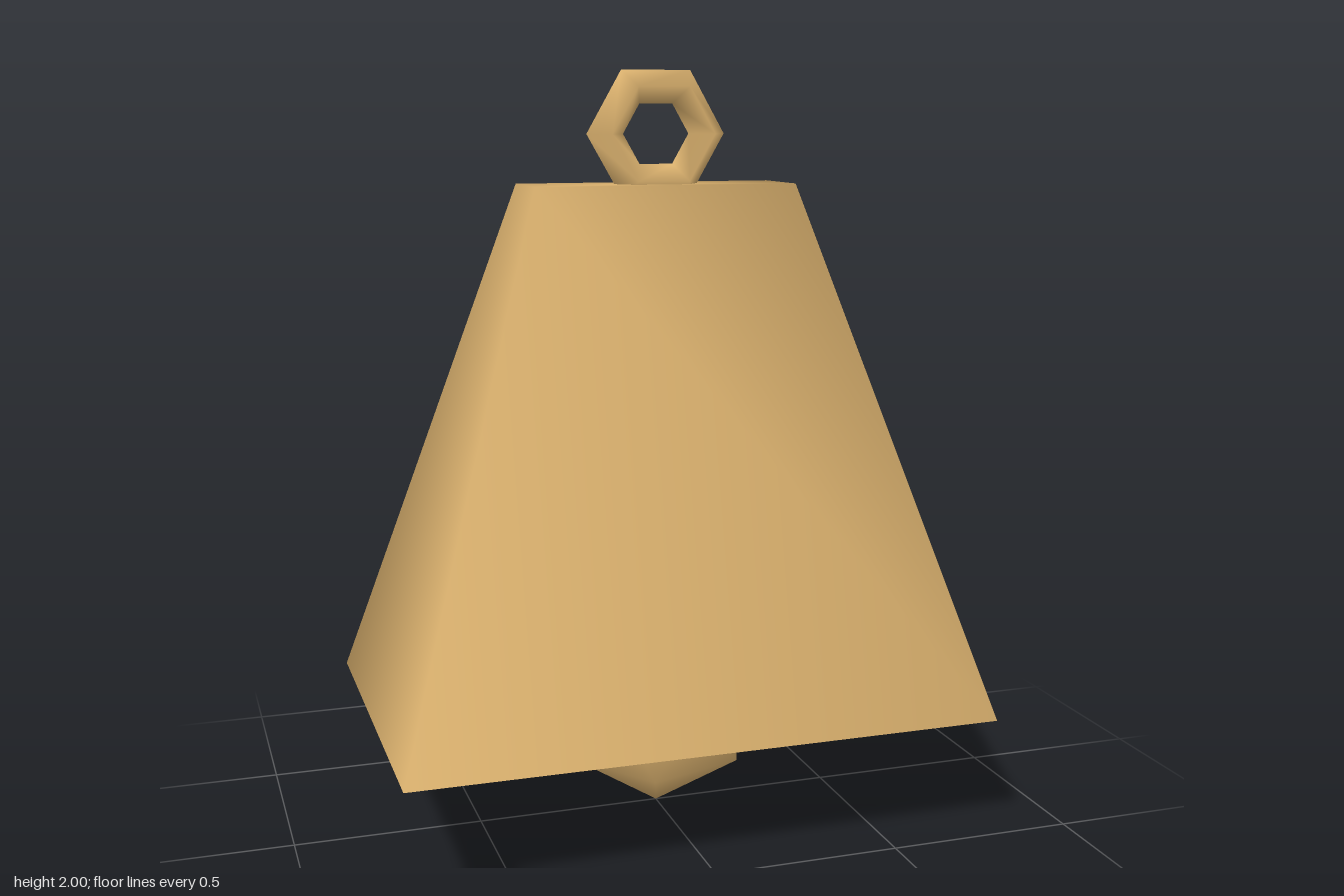
import * as THREE from 'three';
import { mergeVertices } from 'three/addons/utils/BufferGeometryUtils.js';

const brass = new THREE.MeshStandardMaterial({ color: 0xdeb470 });

// Smooth skin over rectangular cross-sections [halfWidth, y, halfDepth]
function rectLoft(sections) {
  const positions = [], index = [];
  for (const [w, y, d] of sections) positions.push(w, y, d, w, y, -d, -w, y, -d, -w, y, d);
  for (let i = 0; i < sections.length - 1; i++) {
    for (let j = 0; j < 4; j++) {
      const a = i * 4 + j, b = i * 4 + (j + 1) % 4;
      index.push(a, a + 4, b + 4, a, b + 4, b);
    }
  }
  const geometry = new THREE.BufferGeometry();
  geometry.setAttribute('position', new THREE.Float32BufferAttribute(positions, 3));
  geometry.setIndex(index);
  geometry.computeVertexNormals();
  return geometry;
}

// Shares vertices so a faceted solid is shaded smoothly
function smooth(geometry) {
  geometry.deleteAttribute('normal');
  geometry.deleteAttribute('uv');
  const merged = mergeVertices(geometry);
  merged.computeVertexNormals();
  return merged;
}

export function createModel() {
  const model = new THREE.Group();
  const add = (name, geometry, y = 0) => {
    const mesh = new THREE.Mesh(geometry, brass);
    mesh.name = name;
    mesh.position.y = y;
    model.add(mesh);
  };

  // Hollow tapered body: closed top, outer wall, rim, inner wall, ceiling
  const top = 1.71, bottom = 0.32, wall = 0.05;
  add('bellBody', rectLoft([
    [0, top, 0],
    [0.35, top, 0.105],
    [0.785, bottom, 0.5],
    [0.785 - wall, bottom, 0.5 - wall],
    [0.35 - wall, top - wall, 0.105 - wall],
    [0, top - wall, 0],
  ]));

  // Six-sided hanging loop with a diamond section
  add('hangingLoop', new THREE.TorusGeometry(0.138, 0.049, 4, 6).scale(1, 1, 1.5), 1.838);

  // Rod carrying the clapper
  add('clapperRod', new THREE.CylinderGeometry(0.08, 0.08, 1.22, 6), 1.05);

  // Clapper: icosahedron standing on one vertex
  const ball = new THREE.IcosahedronGeometry(0.262, 0);
  ball.rotateZ(-Math.atan(2 / (1 + Math.sqrt(5))));
  add('clapper', smooth(ball), 0.262);

  return model;
}
